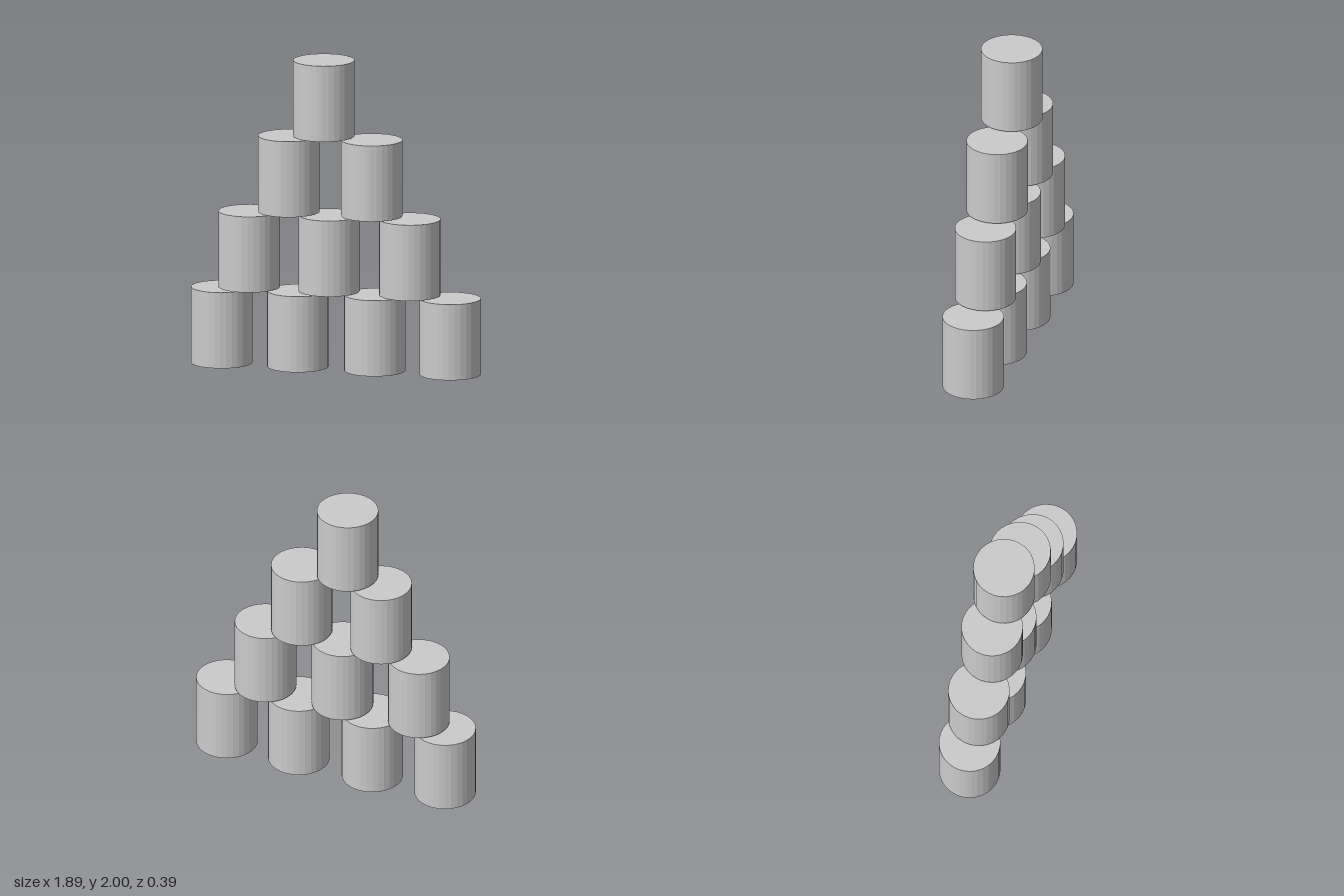
import * as THREE from 'three';

const RADIUS = 0.196;
const HEIGHT = 0.4925;
const STEP = 0.5025; // row spacing, leaving a thin gap between rows

// x centres of the cans in each row, bottom to top
const ROWS = [
  [-0.75, -0.25, 0.255, 0.75],
  [-0.57, -0.045, 0.485],
  [-0.31, 0.235],
  [-0.08],
];

export function createModel() {
  const model = new THREE.Group();
  model.name = 'canPyramid';

  const material = new THREE.MeshStandardMaterial({ color: 0xcccccc, flatShading: true });
  const canGeometry = new THREE.CylinderGeometry(RADIUS, RADIUS, HEIGHT, 32);

  // One group per row, each holding its cans
  ROWS.forEach((centres, level) => {
    const row = new THREE.Group();
    row.name = `row${level + 1}`;
    row.position.y = level * STEP + HEIGHT / 2;
    centres.forEach((x, i) => {
      const can = new THREE.Mesh(canGeometry, material);
      can.name = `row${level + 1}Can${i + 1}`;
      can.position.x = x;
      row.add(can);
    });
    model.add(row);
  });

  return model;
}
